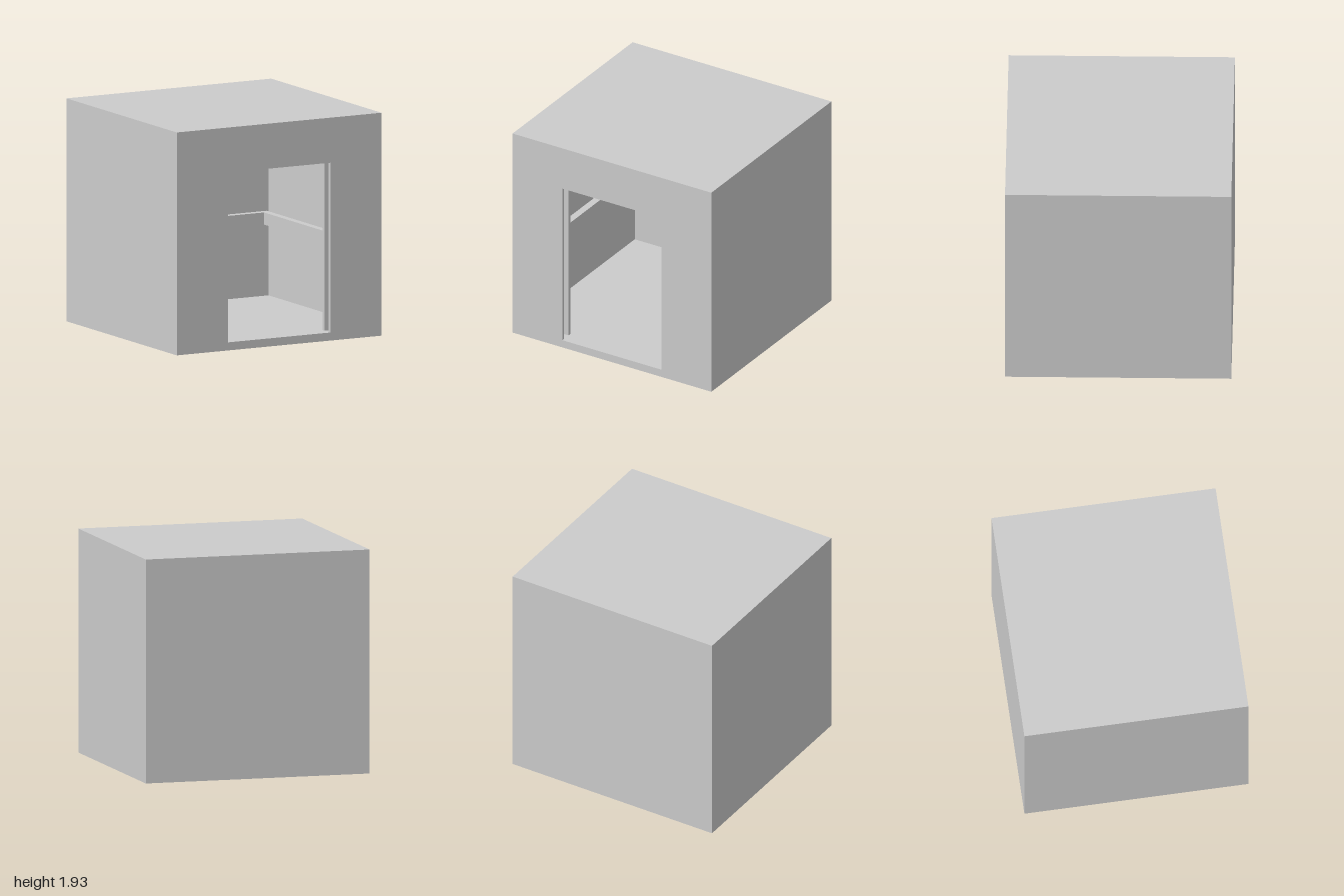
import * as THREE from 'three';

const W = 1, H = 1.93, D = 0.965;      // half width, height, half depth
const T = 0.07;                        // shell thickness
const DOOR = { half: 0.5, bottom: T, top: 1.54 };

export function createModel() {
  const group = new THREE.Group();
  const material = new THREE.MeshStandardMaterial({ color: 0xcccccc });

  const add = (name, geometry) => {
    const mesh = new THREE.Mesh(geometry, material);
    mesh.name = name;
    group.add(mesh);
    return mesh;
  };
  // Box given by its minimum and maximum corners
  const box = (name, [x0, y0, z0], [x1, y1, z1]) =>
    add(name, new THREE.BoxGeometry(x1 - x0, y1 - y0, z1 - z0))
      .position.set((x0 + x1) / 2, (y0 + y1) / 2, (z0 + z1) / 2);

  // Outline of a rectangle, used for walls, the doorway and the rail
  const rect = (Type, x0, y0, x1, y1) => {
    const p = new Type();
    p.moveTo(x0, y0);
    p.lineTo(x1, y0);
    p.lineTo(x1, y1);
    p.lineTo(x0, y1);
    p.closePath();
    return p;
  };
  // Wall panel pierced by the doorway, from zBack to zFront
  const doorWall = (name, x, y0, y1, zBack, zFront) => {
    const shape = rect(THREE.Shape, -x, y0, x, y1);
    shape.holes.push(rect(THREE.Path, -DOOR.half, DOOR.bottom, DOOR.half, DOOR.top));
    add(name, new THREE.ExtrudeGeometry(shape, { depth: zFront - zBack, bevelEnabled: false }))
      .position.z = zBack;
  };

  // Closed shell behind the front wall
  const shellFront = D - 0.03;
  box('floor', [-W, 0, -D], [W, T, shellFront]);
  box('ceiling', [-W, H - T, -D], [W, H, shellFront]);
  box('backWall', [-W, T, -D], [W, H - T, -D + T]);
  for (const [name, s] of [['leftWall', 1], ['rightWall', -1]]) {
    const a = s * W, b = s * (W - T + 0.005);
    box(name, [Math.min(a, b), T, -D + T], [Math.max(a, b), H - T, shellFront]);
  }

  // Two thin front walls with a sliding-door slot between them
  doorWall('frontWall', W, 0, H, shellFront, D);
  doorWall('innerFrontWall', W - T + 0.005, T - 0.001, H - T, 0.83, 0.865);

  // U-shaped handrail standing off the side and back walls
  const outer = 0.893, inner = 0.83, back = -0.85, rail = 0.063, front = 0.83;
  const u = new THREE.Shape();
  // Plan is drawn in x and -z, then laid flat
  [[-outer, front], [-inner, front], [-inner, back + rail], [inner, back + rail],
    [inner, front], [outer, front], [outer, back], [-outer, back]]
    .forEach(([x, z], i) => (i ? u.lineTo(x, -z) : u.moveTo(x, -z)));
  u.closePath();
  const handrail = add('handrail', new THREE.ExtrudeGeometry(u, { depth: 0.105, bevelEnabled: false }));
  handrail.rotation.x = -Math.PI / 2;
  handrail.position.y = 0.708;

  return group;
}
